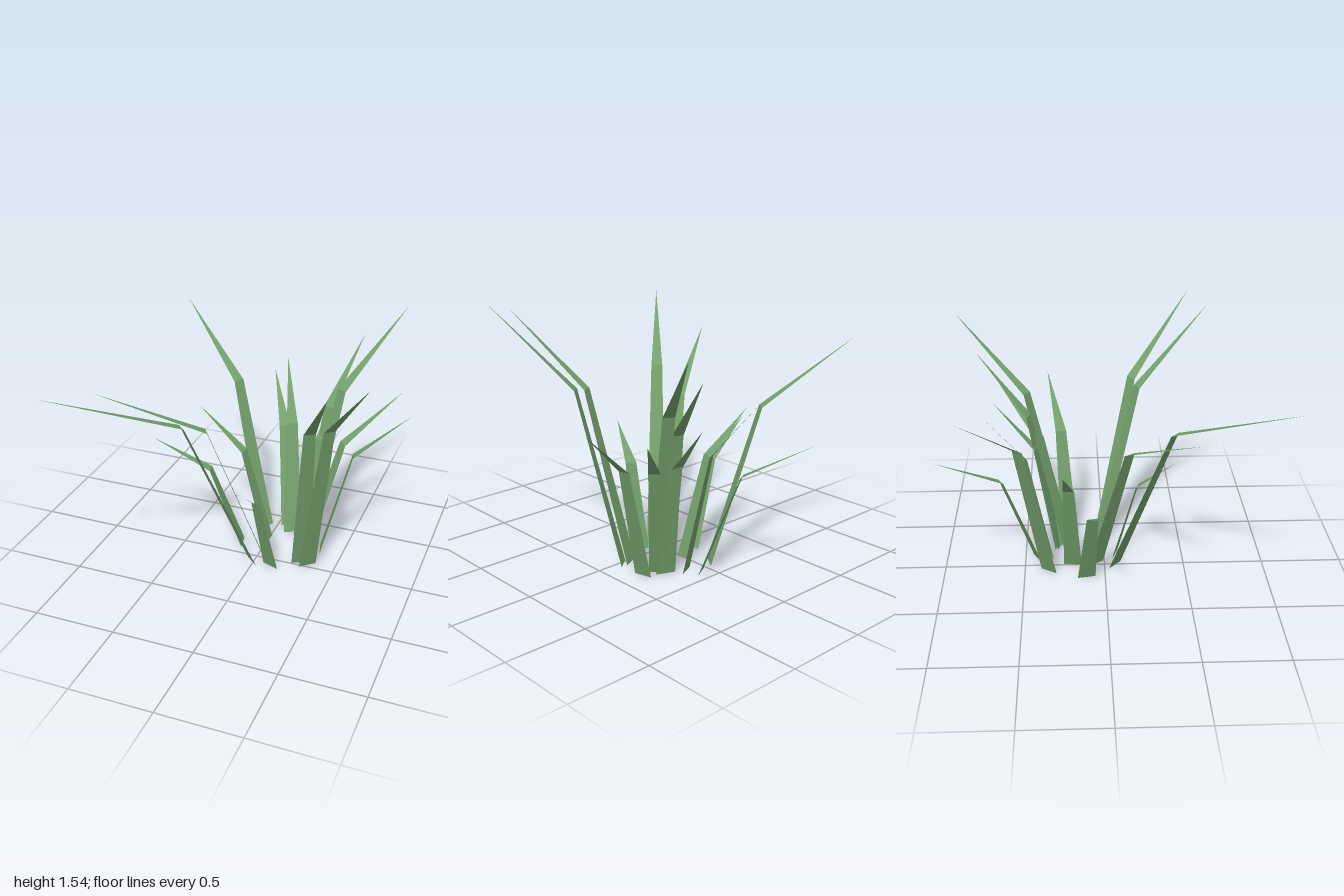
import * as THREE from 'three';

const BASE_WIDTH = 0.112, KNEE_WIDTH = 0.07;

// Centre line of each blade: base x, z | knee x, y, z | tip x, y, z
const BLADES = [
  [[-0.065, -0.35], [-0.315, 0.96, -0.505], [-0.78, 1.35, -0.80]],
  [[0.075, -0.42], [-0.04, 0.625, -0.625], [-0.24, 0.855, -0.99]],
  [[0.12, -0.345], [0.06, 0.73, -0.48], [-0.06, 1.07, -0.73]],
  [[0.005, -0.2], [-0.17, 0.62, -0.22], [-0.48, 0.87, -0.25]],
  [[-0.142, -0.115], [-0.34, 0.53, -0.08], [-0.70, 0.72, -0.01]],
  [[0.01, -0.055], [-0.27, 0.91, 0.135], [-0.81, 1.22, 0.48]],
  [[-0.01, 0.065], [-0.31, 1.05, 0.385], [-0.845, 1.40, 0.98]],
  [[0.115, 0.07], [0.07, 0.52, 0.205], [-0.02, 0.73, 0.44]],
  [[0.28, -0.03], [0.395, 1.05, 0.215], [0.62, 1.50, 0.66]],
  [[0.33, -0.02], [0.50, 1.07, 0.185], [0.81, 1.54, 0.56]],
  [[0.35, -0.22], [0.525, 0.69, -0.265], [0.85, 0.98, -0.35]],
  [[0.255, -0.25], [0.42, 0.69, -0.40], [0.715, 0.97, -0.675]],
  [[0.235, -0.225], [0.38, 1.02, -0.47], [0.665, 1.45, -0.915]],
  [[0.23, -0.29], [0.305, 0.90, -0.46], [0.43, 1.28, -0.78]],
  [[0.235, -0.28], [0.27, 0.69, -0.42], [0.33, 0.98, -0.68]],
];

// A flat strip that narrows to a bent knee, then to a point
function bladeGeometry([base, knee, tip]) {
  const b = new THREE.Vector3(base[0], 0, base[1]);
  const k = new THREE.Vector3(...knee);
  const t = new THREE.Vector3(...tip);
  const side = new THREE.Vector3(t.z - b.z, 0, b.x - t.x).normalize();
  const edge = (p, w) => p.clone().addScaledVector(side, w / 2);
  const b0 = edge(b, -BASE_WIDTH), b1 = edge(b, BASE_WIDTH);
  const k0 = edge(k, -KNEE_WIDTH), k1 = edge(k, KNEE_WIDTH);
  const geometry = new THREE.BufferGeometry().setFromPoints([
    b0, b1, k1, b0, k1, k0, // stem
    k0, k1, t,              // point
  ]);
  geometry.computeVertexNormals();
  return geometry;
}

export function createModel() {
  const model = new THREE.Group();
  model.name = 'grassTuft';
  const green = new THREE.MeshStandardMaterial({ color: 0x74a06c, side: THREE.DoubleSide, flatShading: true });
  green.name = 'grassGreen';

  BLADES.forEach((blade, i) => {
    const mesh = new THREE.Mesh(bladeGeometry(blade), green);
    mesh.name = `blade${i + 1}`;
    model.add(mesh);
  });
  return model;
}
